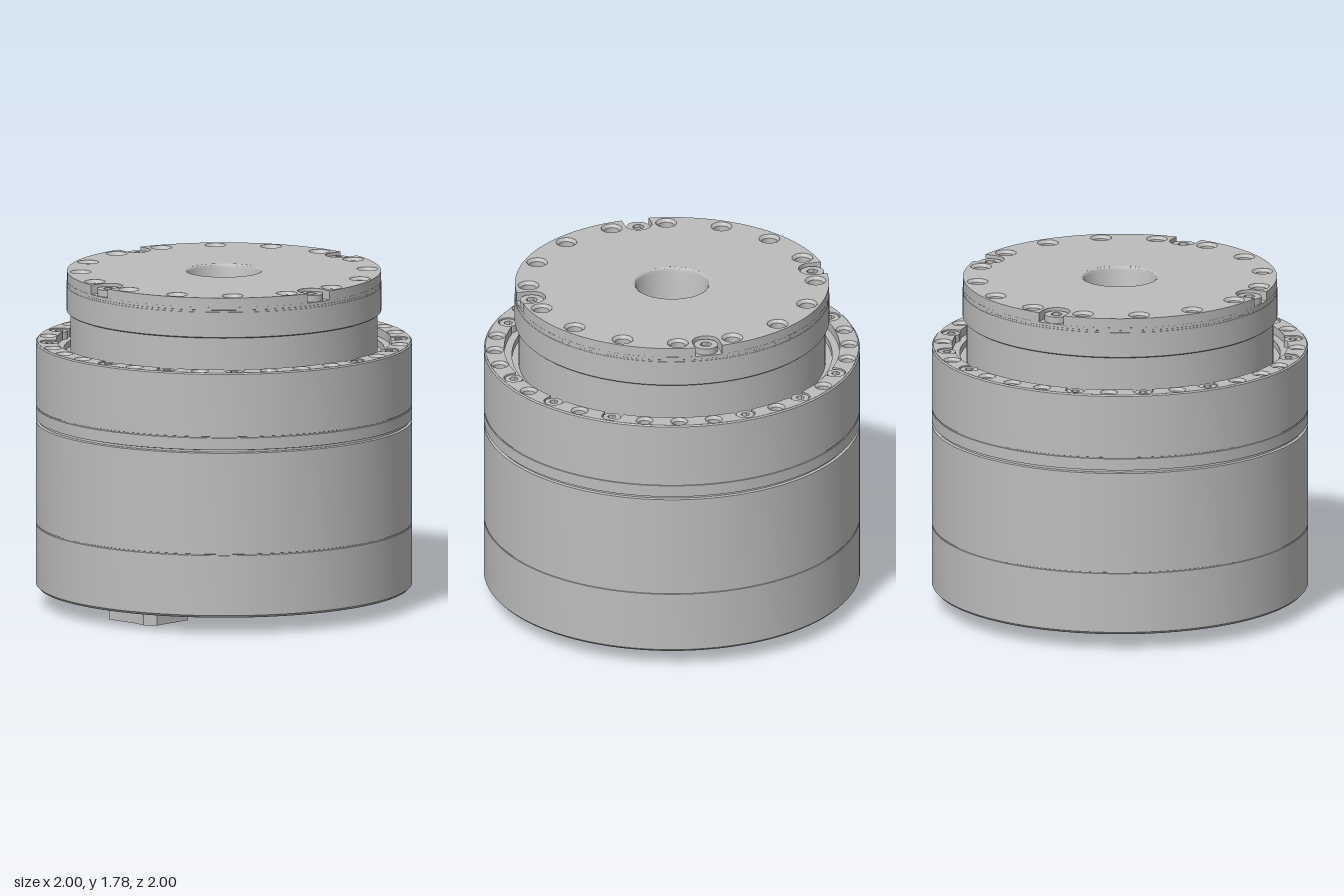
import * as THREE from 'three';
import { toCreasedNormals } from 'three/addons/utils/BufferGeometryUtils.js';

const metal = new THREE.MeshStandardMaterial({ color: 0xbcbcbc });
metal.name = 'machinedMetal';

const PI = Math.PI;
const polar = (r, a) => [r * Math.cos(a), r * Math.sin(a)];

export function createModel() {
  const model = new THREE.Group();

  const add = (name, geometry, x = 0, y = 0, z = 0) => {
    const mesh = new THREE.Mesh(toCreasedNormals(geometry, 0.45), metal);
    mesh.name = name;
    mesh.position.set(x, y, z);
    model.add(mesh);
    return mesh;
  };
  const lathe = (points, segments = 96) =>
    new THREE.LatheGeometry(points.map(([r, y]) => new THREE.Vector2(r, y)), segments);

  // Flat plate in the xz plane: shape y becomes z, its top face lies at y = 0
  const plate = (shape, depth, curveSegments = 12) =>
    new THREE.ExtrudeGeometry(shape, { depth, bevelEnabled: false, curveSegments }).rotateX(PI / 2);
  const circle = (r, x = 0, z = 0, Kind = THREE.Path) => {
    const path = new Kind();
    path.absarc(x, z, r, 0, PI * 2, false);
    return path;
  };
  const polygon = (points, Kind = THREE.Path) =>
    new Kind(points.map(([x, z]) => new THREE.Vector2(x, z)));

  // Circle outline cut by round-ended notches at the given angles
  const notched = (Kind, radius, centreR, w, angles, inward) => {
    const path = new Kind();
    const d = Math.asin(w / radius);
    angles.forEach((a, i) => {
      const next = i + 1 < angles.length ? angles[i + 1] : angles[0] + PI * 2;
      path.absarc(...polar(centreR, a), w, a - PI / 2, inward ? a - PI * 1.5 : a + PI / 2, inward);
      path.absarc(0, 0, radius, a + d, next - d, false);
    });
    path.closePath();
    return path;
  };

  // Chamfered blind hole
  const addHole = (name, r, depth, x, y, z) =>
    add(name, lathe([[r, 0], [r * 0.75, -0.016], [r * 0.75, -depth], [0, -depth]], 24), x, y, z);

  // Cap screw with a hexagonal socket
  const addScrew = (name, r, height, x, y, z) => {
    const head = circle(r, 0, 0, THREE.Shape);
    head.holes.push(polygon([0, 1, 2, 3, 4, 5].map(i => polar(r * 0.5, i * PI / 3))));
    add(name, plate(head, height), x, y, z);
    add(name + 'SocketFloor', new THREE.CylinderGeometry(r * 0.6, r * 0.6, 0.01, 6), x, y - height * 0.7, z);
  };

  // Main housing with its joint seams
  const seam = (y, depth, h) => [[0.998, y - h], [0.998 - depth, y - h * 0.6], [0.998 - depth, y + h * 0.6], [0.998, y + h]];
  add('housing', lathe([
    [0.985, 0.09], [0.998, 0.103],
    ...seam(0.43, 0.004, 0.004), ...seam(0.987, 0.014, 0.009), ...seam(1.063, 0.004, 0.004),
    [0.998, 1.403], [0.991, 1.41],
  ]));

  // Output neck and flange rising from a stepped groove
  add('neckAndFlange', lathe([
    [0.99, 1.365], [0.85, 1.365], [0.85, 1.33], [0.815, 1.33], [0.815, 1.568],
    [0.83, 1.568], [0.835, 1.573], [0.835, 1.708], [0.83, 1.712], [0.83, 1.716],
    [0.835, 1.72], [0.835, 1.735],
  ]));

  // Bolt ring: screws sit in notches open to the groove, plain holes lie between
  const step = PI / 16;
  const isScrew = k => [3, 5, 7].includes(k % 8);
  const slots = [...Array(32).keys()];
  const ring = circle(0.991, 0, 0, THREE.Shape);
  ring.holes.push(notched(THREE.Path, 0.89, 0.925, 0.053,
    slots.filter(isScrew).map(k => k * step), false));
  slots.forEach(k => {
    if (isScrew(k)) {
      const [x, z] = polar(0.925, k * step);
      addScrew('ringScrew', 0.047, 0.04, x, 1.405, z);
    } else {
      const [x, z] = polar(0.94, k * step);
      ring.holes.push(circle(0.046, x, z));
      addHole('ringHole', 0.046, 0.043, x, 1.41, z);
    }
  });
  add('boltRing', plate(ring, 0.045, 24), 0, 1.41, 0);

  // Flange face with sixteen holes and four screw slots
  const quarters = [0, 1, 2, 3].map(i => i * PI / 2);
  const face = notched(THREE.Shape, 0.833, 0.765, 0.073, quarters, true);
  const under = circle(0.834, 0, 0, THREE.Shape);
  face.holes.push(circle(0.205));
  under.holes.push(circle(0.195));
  for (let i = 0; i < 16; i++) {
    const [x, z] = polar(0.762, (i + 0.5) * PI / 8);
    face.holes.push(circle(0.056, x, z));
    under.holes.push(circle(0.043, x, z));
    addHole('flangeHole', 0.056, 0.12, x, 1.785, z);
  }
  add('flangeFace', plate(face, 0.05, 24), 0, 1.785, 0);
  add('flangeBase', plate(under, 0.1, 48), 0, 1.735, 0);
  quarters.forEach(a => {
    const [x, z] = polar(0.765, a);
    addScrew('flangeScrew', 0.063, 0.035, x, 1.77, z);
  });

  // Central through bore, widened at the bottom
  add('bore', lathe([
    [0.205, 1.785], [0.196, 1.779], [0.19, 1.765], [0.19, 0.16], [0.205, 0.145], [0.225, 0.145],
    [0.225, 0.115], [0.24, 0.115], [0.25, 0.09],
  ], 64));

  // Bottom cover with mounting holes and connector openings
  const cover = circle(0.986, 0, 0, THREE.Shape);
  cover.holes.push(circle(0.25));
  for (let i = 0; i < 4; i++) {
    cover.holes.push(circle(0.05, ...polar(0.905, (50 + i * 90) * PI / 180)));
  }
  cover.holes.push(circle(0.022, 0.43, -0.56), circle(0.022, -0.36, -0.75));
  cover.holes.push(polygon([[0.74, -0.32], [0.76, -0.42], [0.6, -0.445], [0.58, -0.345]]));
  cover.holes.push(polygon([[0.7, 0.35], [0.776, 0.09], [0.68, -0.04], [0.6, -0.01], [0.52, 0.25], [0.62, 0.36]]));
  cover.holes.push(polygon([[0.63, 0.48], [0.46, 0.31], [0.26, 0.45], [-0.05, 0.51], [-0.08, 0.62],
    [0.02, 0.83], [0.33, 0.82]]));
  add('bottomCover', plate(cover, 0.13, 48), 0, 0.22, 0);
  add('recessFloor', lathe([[0.22, 0.22], [0.986, 0.22]]));

  // Protruding plug and the recessed sockets beside it
  const plug = polygon([[0.01, 0.56], [0.2, 0.51], [0.33, 0.49], [0.36, 0.72], [0.31, 0.77], [0.24, 0.77], [0.06, 0.81]], THREE.Shape);
  add('connectorPlug', plate(plug, 0.22), 0, 0.22, 0);
  const addSocket = (x, z, w, d, turn) => {
    const socket = add('recessedSocket', new THREE.BoxGeometry(w, 0.09, d), x, 0.18, z);
    socket.rotation.y = turn;
  };
  addSocket(0.64, 0.15, 0.13, 0.26, 0.25);
  addSocket(0.46, 0.46, 0.16, 0.14, 0.75);

  return model;
}
